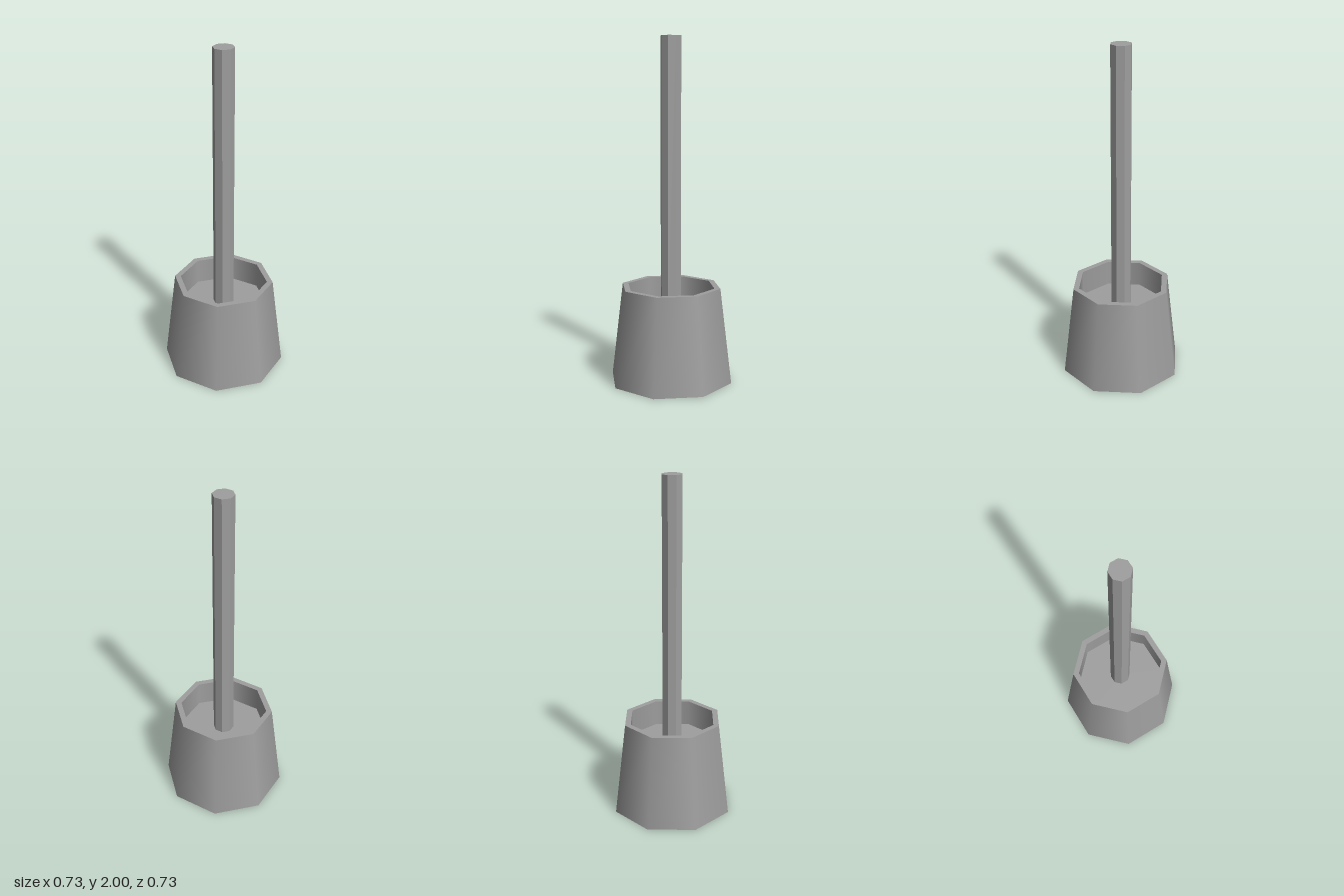
import * as THREE from 'three';

const SIDES = 8;
const GREY = 0x9e9e9e;
const smooth = new THREE.MeshStandardMaterial({ color: GREY, side: THREE.DoubleSide });
const faceted = new THREE.MeshStandardMaterial({ color: GREY, flatShading: true });

export function createModel() {
  const model = new THREE.Group();

  const add = (name, geometry, material, y, parent) => {
    const mesh = new THREE.Mesh(geometry, material);
    mesh.name = name;
    mesh.position.y = y;
    parent.add(mesh);
  };
  const lay = (geometry) => geometry.rotateX(-Math.PI / 2);
  const wall = (top, bottom, height) => new THREE.CylinderGeometry(top, bottom, height, SIDES, 1, true);

  const rimY = 0.56, floorY = 0.405;
  const bottomR = 0.366, topR = 0.297, innerR = 0.262, handleR = 0.061;

  // Tapered holder, open underneath, with a shallow recess in the top
  const holder = new THREE.Group();
  holder.name = 'holder';
  model.add(holder);
  add('outerWall', wall(topR, bottomR, rimY), smooth, rimY / 2, holder);
  add('rim', lay(new THREE.RingGeometry(innerR, topR, SIDES)), smooth, rimY, holder);
  add('innerWall', wall(innerR, innerR, rimY - floorY), smooth, (rimY + floorY) / 2, holder);
  add('recessFloor', lay(new THREE.CircleGeometry(innerR, SIDES)), smooth, floorY, holder);

  // Upright faceted handle standing on the recess floor
  const handle = new THREE.CylinderGeometry(handleR, handleR, 2 - floorY, SIDES).toNonIndexed();
  handle.computeVertexNormals();
  add('handle', handle, faceted, (2 + floorY) / 2, model);

  return model;
}
